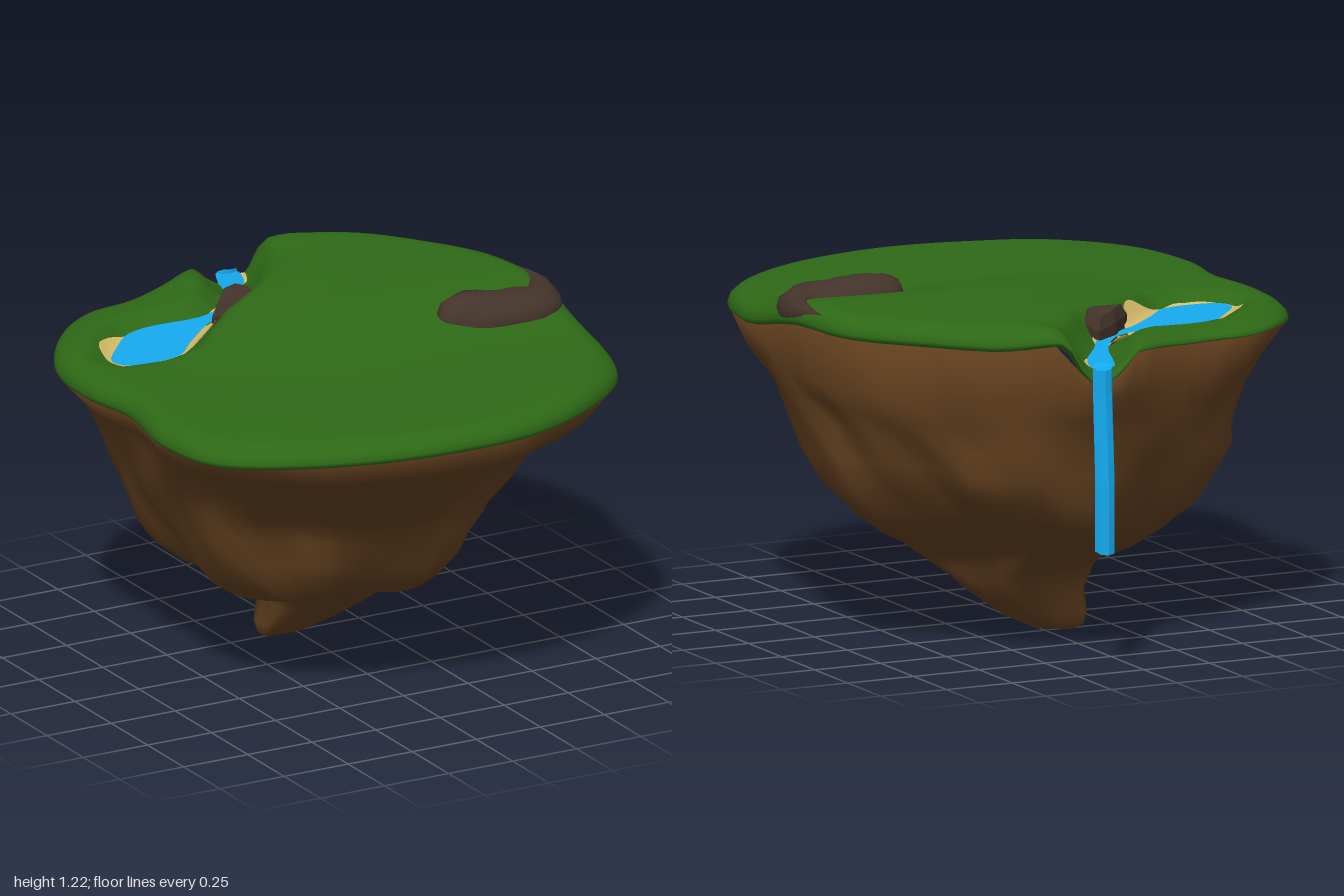
import * as THREE from 'three';

const mat = (color, opts = {}) => new THREE.MeshStandardMaterial({ color, ...opts });
const S = (a, b, v) => { const t = Math.min(1, Math.max(0, (v - a) / (b - a))); return t * t * (3 - 2 * t); };
const lerp = THREE.MathUtils.lerp;

// Plan outlines as [x, z], counter-clockwise seen from above
const ISLAND = [[0, 0.997], [0.25, 0.965], [0.5, 0.86], [0.75, 0.65], [0.84, 0.4], [0.87, 0.1], [0.88, -0.1],
  [0.84, -0.4], [0.7, -0.62], [0.5, -0.83], [0.2, -0.94], [0, -0.93], [-0.2, -0.84], [-0.38, -0.78],
  [-0.52, -0.76], [-0.68, -0.65], [-0.84, -0.42], [-0.88, -0.15], [-0.85, 0.1], [-0.89, 0.4],
  [-0.83, 0.67], [-0.6, 0.86], [-0.3, 0.965]];
const WATER = [[-0.68, -0.31], [-0.66, -0.25], [-0.55, -0.23], [-0.45, -0.25], [-0.35, -0.35], [-0.22, -0.47],
  [-0.14, -0.52], [-0.03, -0.6], [0.05, -0.72], [0.13, -0.83], [0.165, -0.94], [0.15, -0.97], [0.1, -0.965],
  [0.05, -0.87], [0, -0.73], [-0.1, -0.6], [-0.2, -0.55], [-0.4, -0.55], [-0.5, -0.52], [-0.6, -0.42]];
const POND_SAND = [[-0.53, -0.21], [-0.4, -0.27], [-0.28, -0.32], [-0.2, -0.45], [-0.19, -0.52], [-0.35, -0.52],
  [-0.52, -0.51], [-0.6, -0.48], [-0.675, -0.41], [-0.67, -0.25]];
const STREAM_SANDS = [
  [[-0.1, -0.52], [0, -0.61], [0.01, -0.68], [-0.07, -0.63], [-0.16, -0.56]],
  [[0.12, -0.81], [0.17, -0.91], [0.14, -0.93], [0.08, -0.85]],
];

// Smooth closed loop through plan points
const loop = (pts, n) => new THREE.CatmullRomCurve3(pts.map(([x, z]) => new THREE.Vector3(x, 0, z)), true)
  .getSpacedPoints(n).slice(0, n);

// Skin over rows of closed loops
function loft(rows) {
  const n = rows[0].length, pos = [], index = [];
  rows.forEach(row => row.forEach(p => pos.push(p.x, p.y, p.z)));
  for (let r = 0; r < rows.length - 1; r++) {
    for (let c = 0; c < n; c++) {
      const a = r * n + c, b = r * n + (c + 1) % n;
      index.push(a, b, a + n, b, b + n, a + n);
    }
  }
  const g = new THREE.BufferGeometry();
  g.setAttribute('position', new THREE.Float32BufferAttribute(pos, 3));
  g.setIndex(index);
  g.computeVertexNormals();
  return g;
}

// Signed distance to the water's edge, negative inside
function shoreDistance(x, z) {
  let d = Infinity, inside = false;
  WATER.forEach(([ax, az], i) => {
    const [bx, bz] = WATER[(i + 1) % WATER.length], ex = bx - ax, ez = bz - az;
    const t = Math.min(1, Math.max(0, ((x - ax) * ex + (z - az) * ez) / (ex * ex + ez * ez)));
    d = Math.min(d, Math.hypot(x - ax - t * ex, z - az - t * ez));
    if ((az > z) !== (bz > z) && x < ax + ex * (z - az) / ez) inside = !inside;
  });
  return inside ? -d : d;
}

// The stream runs gently down towards the back edge
const shoreLevel = z => 1.06 - 0.022 * S(-0.6, -0.92, z);

// Ground height: a rise east of the stream, with the pond and stream cut in
function ground(x, z) {
  const behind = S(-0.4, -0.75, z), shore = shoreLevel(z);
  const rise = S(-0.6 + 0.6 * behind, 0.25 + 0.1 * behind, x) * S(0.35, -0.2, z);
  const h = 1.115 - 0.015 * S(-0.4, -0.9, x) + 0.078 * rise - 0.016 * behind * S(0, -0.35, x)
    + 0.004 * Math.sin(7 * x + 2) * Math.sin(6 * z + 1);
  const d = shoreDistance(x, z);
  return d < 0 ? shore + Math.max(-0.03, d) : lerp(shore, h, S(0, 0.1, d));
}

// The turf thins out along the back right edge
const turf = (x, z) => 1 - 0.55 * S(-0.35, -0.7, z) * S(0.5, 0.1, x);

// Patch of ground from an outline shrunk in rings towards its centre
function groundPatch(pts, lift, n, rings) {
  const edge = loop(pts, n), mid = new THREE.Vector3();
  edge.forEach(p => mid.addScaledVector(p, 1 / n));
  const rows = [];
  for (let i = 0; i <= rings; i++) {
    rows.push(edge.map(p => {
      const q = p.clone().lerp(mid, i / rings);
      return q.setY(ground(q.x, q.z) + lift);
    }));
  }
  return loft(rows);
}

// Grass: rounded lip, then rings to the middle
function grassGeometry() {
  const edge = loop(ISLAND, 180), rows = [];
  const ring = (f, drop) => rows.push(edge.map(p =>
    new THREE.Vector3(p.x * f, ground(p.x * f, p.z * f) - drop * turf(p.x, p.z), p.z * f)));
  [[0.94, 0.095], [0.975, 0.085], [0.995, 0.072], [1, 0.058], [0.991, 0.034], [0.968, 0.014], [0.935, 0.003]]
    .forEach(([f, drop]) => ring(f, drop));
  for (let i = 1; i <= 46; i++) ring(0.935 * (1 - i / 46), 0);
  return loft(rows);
}

// Rock underside: levels of [y, xMin, xMax, zMin, zMax]
function rockGeometry() {
  const levels = [[0, -0.11, -0.07, -0.27, -0.24], [0.015, -0.14, 0.04, -0.3, -0.2], [0.06, -0.155, 0.14, -0.33, -0.14],
    [0.15, -0.15, 0.27, -0.38, -0.03], [0.23, -0.19, 0.38, -0.44, 0.06], [0.275, -0.28, 0.42, -0.49, 0.25],
    [0.32, -0.45, 0.46, -0.58, 0.36], [0.38, -0.53, 0.55, -0.68, 0.42], [0.46, -0.6, 0.66, -0.76, 0.47],
    [0.56, -0.65, 0.77, -0.83, 0.51], [0.66, -0.7, 0.81, -0.87, 0.56], [0.76, -0.74, 0.84, -0.9, 0.7],
    [0.85, -0.77, 0.865, -0.92, 0.82], [0.93, -0.81, 0.88, -0.935, 0.9]];
  const edge = loop(ISLAND, 56);
  const rows = levels.map(([y, x0, x1, z0, z1]) => edge.map((p, i) => {
    const a = i / edge.length * Math.PI * 2, rough = S(0, 0.3, y) * S(1.05, 0.75, y);
    const n = Math.sin(5 * a + 7 * y) + 0.7 * Math.sin(9 * a - 11 * y + 1) + 0.4 * Math.sin(16 * a + 15 * y);
    const corner = Math.sin(2 * Math.atan2(p.z, p.x)) ** 2 * (p.x > 0 && p.z > 0 ? 0.15 : 0.09);
    const k = 1 - rough * (0.03 * (n + 0.6) + corner);
    const u = (p.x + 0.89) / 1.77, v = (p.z + 0.94) / 1.937;
    return new THREE.Vector3(
      lerp(x0, x1, 0.5 + (u - 0.5) * k),
      y + 0.018 * rough * Math.sin(4 * a + 9 * y),
      lerp(z0, z1, 0.5 + (v - 0.5) * k));
  }));
  const rim = (f, drop) => rows.push(edge.map(p =>
    new THREE.Vector3(p.x * f, ground(p.x, p.z) - drop * turf(p.x, p.z), p.z * f)));
  rim(0.99, 0.077);
  rim(0.9, 0.1);
  const base = new THREE.Vector3(-0.09, 0, -0.255);
  rows.unshift(edge.map(() => base.clone()));
  return loft(rows);
}

// Curved stone ridge: [x, y, z, half width, half height]
function ridgeGeometry() {
  const keys = [[0.385, 1.13, 0.03, 0.002, 0.002], [0.41, 1.13, 0.04, 0.055, 0.07], [0.5, 1.13, 0.06, 0.1, 0.098],
    [0.63, 1.13, 0.08, 0.11, 0.088], [0.75, 1.13, 0.07, 0.1, 0.077], [0.815, 1.13, 0, 0.065, 0.065],
    [0.845, 1.145, -0.1, 0.036, 0.045], [0.848, 1.16, -0.26, 0.002, 0.01]];
  const path = new THREE.CatmullRomCurve3(keys.map(k => new THREE.Vector3(k[0], k[1], k[2])));
  const size = new THREE.CatmullRomCurve3(keys.map(k => new THREE.Vector3(k[3], k[4], 0)));
  const rows = [];
  for (let i = 0; i <= 21; i++) {
    const p = path.getPoint(i / 21), t = path.getTangent(i / 21).setY(0).normalize(), s = size.getPoint(i / 21);
    rows.push(Array.from({ length: 12 }, (_, j) => {
      const a = j / 12 * Math.PI * 2, k = 1 + 0.04 * Math.sin(3 * j + 1.3 * i);
      const w = s.x * Math.cos(a) * k, h = s.y * Math.sin(a) * k;
      return new THREE.Vector3(p.x + t.z * w, p.y + h, p.z - t.x * w);
    }));
  }
  return loft(rows);
}

// Small boulder beside the stream
function boulderGeometry() {
  const foot = [[-0.05, -0.43], [0, -0.54], [-0.015, -0.635], [-0.11, -0.57], [-0.22, -0.435]];
  const ring = (f, y) => foot.map(([x, z], i) =>
    new THREE.Vector3(lerp(-0.08, x, f), y + (f ? 0.006 * Math.sin(i * 2.4) : 0), lerp(-0.52, z, f)));
  return loft([ring(0.95, 1.03), ring(1, 1.11), ring(0.75, 1.152), ring(0, 1.162)]);
}

// Pond and stream surface
function waterGeometry() {
  const shape = new THREE.Shape(loop(WATER, 80).map(p => new THREE.Vector2(p.x, -p.z)));
  const g = new THREE.ShapeGeometry(shape).rotateX(-Math.PI / 2), p = g.attributes.position;
  for (let i = 0; i < p.count; i++) p.setY(i, shoreLevel(p.getZ(i)) + 0.013);
  g.computeVertexNormals();
  return g;
}

// Falling water: a faceted column leaning slightly outwards
function waterfallGeometry() {
  const g = new THREE.CylinderGeometry(1, 1, 0.635, 8, 8), p = g.attributes.position;
  for (let i = 0; i < p.count; i++) {
    const y = p.getY(i) + 0.737, drop = S(1.05, 0.6, y);
    p.setXYZ(i, 0.132 + p.getX(i) * 0.037, y + 0.012 * p.getZ(i),
      -0.95 - 0.018 * drop + p.getZ(i) * lerp(0.022, 0.031, drop));
  }
  g.computeVertexNormals();
  return g;
}

export function createModel() {
  const group = new THREE.Group();
  const add = (name, geometry, material) => {
    const mesh = new THREE.Mesh(geometry, material);
    mesh.name = name;
    group.add(mesh);
  };
  const sand = mat(0xd9bf6a, { side: THREE.DoubleSide });
  const blue = 0x14aaf0;

  add('rockBase', rockGeometry(), mat(0x63401f));
  add('grassTop', grassGeometry(), mat(0x2e6916));
  add('pondSand', groundPatch(POND_SAND, 0.01, 60, 20), sand);
  STREAM_SANDS.forEach(pts => add('streamSand', groundPatch(pts, 0.01, 24, 8), sand));
  add('pondAndStream', waterGeometry(), mat(blue, { side: THREE.DoubleSide }));
  add('waterfall', waterfallGeometry(), mat(blue, { flatShading: true }));
  add('stoneRidge', ridgeGeometry(), mat(0x44342b));
  add('streamBoulder', boulderGeometry(), mat(0x44342b, { flatShading: true }));
  return group;
}
